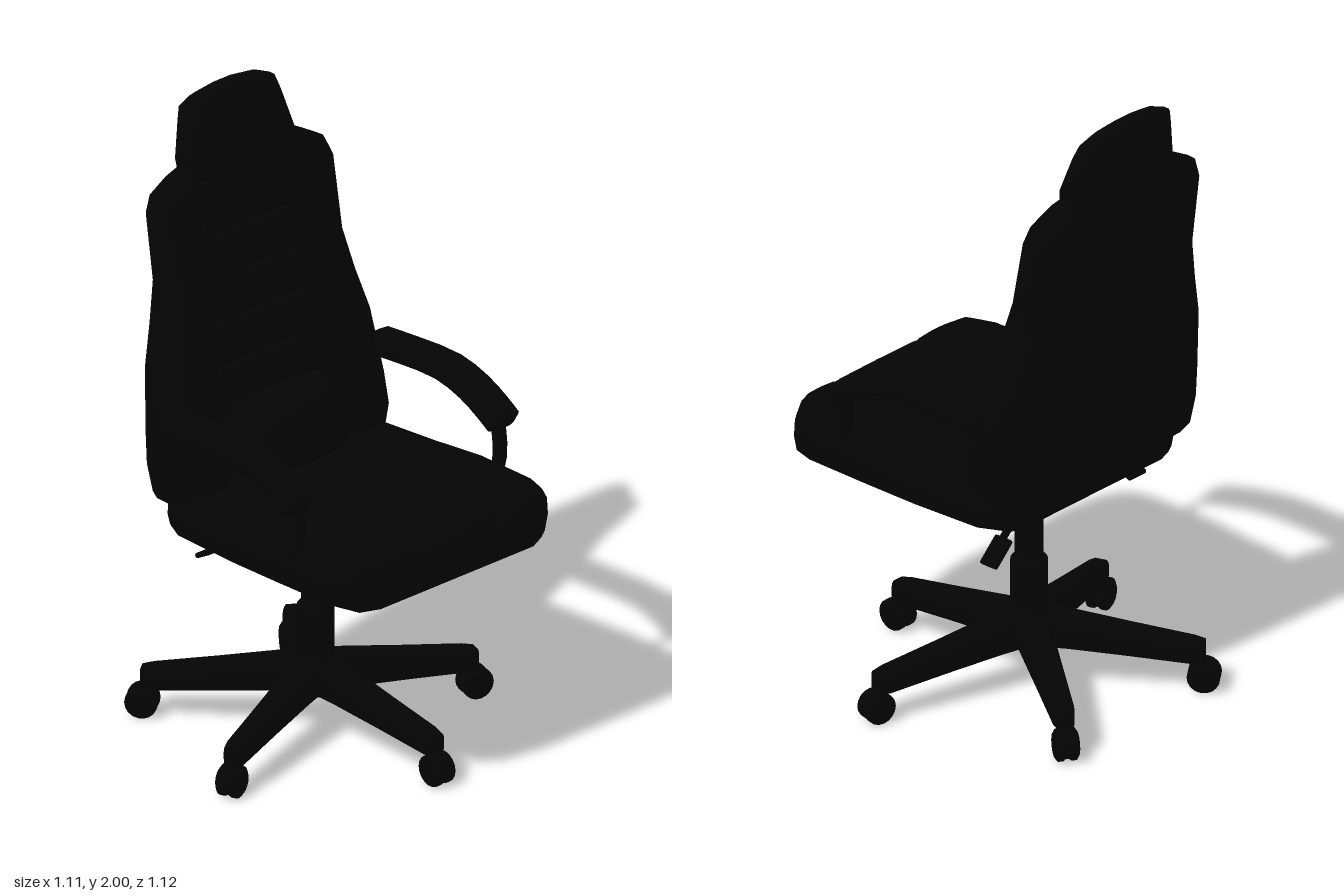
import * as THREE from 'three';
import { toCreasedNormals } from 'three/addons/utils/BufferGeometryUtils.js';
import { RoundedBoxGeometry } from 'three/addons/geometries/RoundedBoxGeometry.js';

const V = (x, y, z) => new THREE.Vector3(x, y, z);
const material = new THREE.MeshStandardMaterial({ color: 0x040404 });

function add(parent, name, geometry, x = 0, y = 0, z = 0) {
  const mesh = new THREE.Mesh(geometry, material);
  mesh.name = name;
  mesh.position.set(x, y, z);
  parent.add(mesh);
  return mesh;
}

// Skin a row of equal closed loops and close both ends
function loft(loops, crease = 0.8) {
  const n = loops[0].length, pos = [], idx = [];
  loops.forEach(l => l.forEach(p => pos.push(p.x, p.y, p.z)));
  for (let i = 0; i < loops.length - 1; i++) {
    for (let j = 0; j < n; j++) {
      const a = i * n + j, b = i * n + (j + 1) % n;
      idx.push(a, b, b + n, a, b + n, a + n);
    }
  }
  [0, loops.length - 1].forEach(i => {
    const c = pos.length / 3;
    const mid = loops[i].reduce((s, p) => s.add(p), V(0, 0, 0)).divideScalar(n);
    pos.push(mid.x, mid.y, mid.z);
    for (let j = 0; j < n; j++) {
      const a = i * n + j, b = i * n + (j + 1) % n;
      if (i) idx.push(c, a, b); else idx.push(c, b, a);
    }
  });
  const g = new THREE.BufferGeometry();
  g.setAttribute('position', new THREE.Float32BufferAttribute(pos, 3));
  g.setIndex(idx);
  return toCreasedNormals(g, crease);
}

// Complete a half profile (running from centre to centre on the +x side)
const mirror = half => [...half, ...half.slice(1, -1).reverse().map(([x, y]) => [-x, y])];

// Round rod along a curve, with closed ends
function rod(pts, r) {
  const curve = new THREE.CatmullRomCurve3(pts), steps = 16;
  const { normals, binormals } = curve.computeFrenetFrames(steps);
  return loft(normals.map((n, i) => Array.from({ length: 10 }, (_, j) => {
    const a = j / 10 * Math.PI * 2;
    return curve.getPointAt(i / steps).addScaledVector(n, r * Math.cos(a)).addScaledVector(binormals[i], r * Math.sin(a));
  })));
}

// Rounded rectangle in unit size
const roundRect = mirror([[0, -1], [0.7, -1], [0.93, -0.75], [1, -0.3], [1, 0.3], [0.93, 0.75], [0.7, 1], [0, 1]]);

function buildSeat(root) {
  const half = [[0, 0], [0.88, 0], [0.97, 0.12], [1, 0.4], [0.99, 0.7], [0.94, 0.9], [0.85, 1],
    [0.7, 1.01], [0.54, 0.98], [0.5, 0.92], [0.46, 0.97], [0, 0.98]];
  // z, half width, bottom, top
  const stations = [[-0.36, 0.27, 0.75, 0.80], [-0.345, 0.33, 0.715, 0.82], [-0.31, 0.385, 0.7, 0.84],
    [-0.24, 0.422, 0.7, 0.85], [0, 0.435, 0.7, 0.86], [0.2, 0.437, 0.7, 0.88], [0.42, 0.432, 0.7, 0.882],
    [0.49, 0.41, 0.7, 0.88], [0.53, 0.355, 0.71, 0.86], [0.555, 0.24, 0.755, 0.815]];
  const loops = stations.map(([z, w, lo, hi]) => mirror(half).map(([x, y]) => V(x * w, lo + y * (hi - lo), z)));
  add(root, 'seat', loft(loops));
  // Stitched diagonal folds on both bolsters
  for (const s of [-1, 1]) for (let i = 0; i < 3; i++) {
    const z = 0.07 + i * 0.075, y = 0.861 + i * 0.005;
    add(root, 'seatFold', rod([V(s * 0.22, y - 0.006, z - 0.04), V(s * 0.3, y, z), V(s * 0.37, y - 0.003, z + 0.03)], 0.012));
  }
}

function buildBack(root) {
  // x share of the width, depth share from front (0) to rear (1)
  const half = [[0, 0.31], [0.5, 0.28], [0.54, 0.3], [0.58, 0.12], [0.69, 0.01], [0.84, 0], [0.95, 0.12],
    [1, 0.4], [0.99, 0.7], [0.93, 0.9], [0.77, 0.99], [0, 1]];
  // y, half width, front z, rear z
  const stations = [[0.79, 0.38, -0.22, -0.37], [0.81, 0.415, -0.17, -0.395], [0.9, 0.428, -0.16, -0.41],
    [1.0, 0.425, -0.18, -0.417], [1.2, 0.407, -0.225, -0.435], [1.33, 0.374, -0.26, -0.445], [1.46, 0.347, -0.29, -0.455],
    [1.68, 0.36, -0.347, -0.468], [1.73, 0.34, -0.36, -0.47], [1.77, 0.27, -0.375, -0.467], [1.8, 0.2, -0.4, -0.455]];
  const loops = stations.map(([y, w, f, r]) => mirror(half).map(([x, d]) => V(x * w, y, f + d * (r - f))));
  add(root, 'backrest', loft(loops));

  // Stacked pads up the middle
  for (let i = 0; i < 4; i++) {
    const pad = add(root, 'backPad', new RoundedBoxGeometry(0.42 - i * 0.02, 0.132, 0.05, 3, 0.022), 0, 1.12 + i * 0.13, -0.283 - i * 0.026);
    pad.rotation.x = -0.21;
  }
  // Lumbar pillow, thinning towards its ends: x, height share, depth share
  const pillow = [[-0.225, 0.5, 0.3], [-0.21, 0.75, 0.55], [-0.17, 0.92, 0.8], [-0.1, 1, 0.95], [0, 1, 1],
    [0.1, 1, 0.95], [0.17, 0.92, 0.8], [0.21, 0.75, 0.55], [0.225, 0.5, 0.3]];
  add(root, 'lumbarCushion', loft(pillow.map(([x, h, d]) => Array.from({ length: 20 }, (_, j) => {
    const a = j / 20 * Math.PI * 2;
    return V(x, 0.96 + h * 0.122 * Math.cos(a), -0.2 + d * 0.107 * Math.sin(a) - 0.2 * h * 0.122 * Math.cos(a));
  }))));

  // Headrest: y, half width, front z, rear z
  const head = [[1.745, 0.195, -0.385, -0.46], [1.765, 0.215, -0.367, -0.473], [1.81, 0.221, -0.37, -0.48],
    [1.92, 0.197, -0.405, -0.49], [1.965, 0.185, -0.425, -0.494], [1.985, 0.14, -0.435, -0.492], [2.0, 0.05, -0.448, -0.482]];
  add(root, 'headrest', loft(head.map(([y, w, f, r]) =>
    roundRect.map(([x, d]) => V(x * w, y, (f + r) / 2 + d * (r - f) / 2)))));
}

function buildArms(root) {
  const path = new THREE.CatmullRomCurve3([V(0, 1.08, -0.27), V(0, 1.093, -0.12), V(0, 1.098, 0.05),
    V(0, 1.07, 0.16), V(0, 1.03, 0.24), V(0, 0.995, 0.295)]);
  const steps = [0, 0.03, 0.1, 0.2, 0.3, 0.4, 0.5, 0.6, 0.7, 0.8, 0.9, 0.97, 1];
  const pad = loft(steps.map((t, i) => {
    const p = path.getPoint(t), d = path.getTangent(t);
    const k = i === 0 || i === steps.length - 1 ? 0.7 : 1;
    return roundRect.map(([x, h]) => V(x * 0.055 * k, p.y + d.z * h * 0.032 * k, p.z - d.y * h * 0.032 * k));
  }));
  // Flat bar from the pad down to the seat: y, z
  const post = loft([[1.02, 0.262], [0.98, 0.278], [0.93, 0.284], [0.88, 0.282], [0.8, 0.262]].map(([y, z]) =>
    roundRect.map(([x, d]) => V(x * 0.024, y, z + d * 0.011))));
  for (const s of [-1, 1]) {
    const arm = new THREE.Group();
    arm.name = s > 0 ? 'leftArmrest' : 'rightArmrest';
    add(arm, 'armPad', pad, s * 0.421, 0, 0);
    add(arm, 'armPost', post, s * 0.41, 0, 0);
    root.add(arm);
  }
}

function buildBase(root) {
  const base = new THREE.Group();
  base.name = 'base';
  base.position.z = -0.083;
  root.add(base);
  // Gas column with hub and sleeve
  const column = [[0, 0.13], [0.06, 0.13], [0.075, 0.16], [0.075, 0.22], [0.056, 0.25], [0.056, 0.41], [0.043, 0.425],
    [0.043, 0.68], [0, 0.68]].map(p => new THREE.Vector2(...p));
  add(base, 'column', toCreasedNormals(new THREE.LatheGeometry(column, 24), 0.5));

  // Five tapering legs on twin wheels: z, half width, bottom, top
  const leg = loft([[0.02, 0.052, 0.135, 0.25], [0.12, 0.05, 0.13, 0.232], [0.3, 0.042, 0.113, 0.2],
    [0.49, 0.034, 0.093, 0.168], [0.525, 0.026, 0.096, 0.16]].map(([z, w, lo, hi]) =>
    roundRect.map(([x, y]) => V(x * w, (lo + hi) / 2 + y * (hi - lo) / 2, z))));
  const wheel = toCreasedNormals(new THREE.LatheGeometry([[0, -0.016], [0.038, -0.016], [0.05, -0.008],
    [0.05, 0.008], [0.038, 0.016], [0, 0.016]].map(p => new THREE.Vector2(...p)), 18), 0.5);
  for (let i = 0; i < 5; i++) {
    const spoke = new THREE.Group();
    spoke.name = 'spoke';
    spoke.rotation.y = i * Math.PI * 2 / 5;
    add(spoke, 'leg', leg);
    add(spoke, 'casterStem', new THREE.CylinderGeometry(0.018, 0.018, 0.08, 12), 0, 0.08, 0.505);
    add(spoke, 'casterHood', new THREE.CylinderGeometry(0.047, 0.047, 0.03, 18), 0, 0.053, 0.522).rotation.z = Math.PI / 2;
    for (const s of [-1, 1]) add(spoke, 'casterWheel', wheel, s * 0.02, 0.05, 0.522).rotation.z = Math.PI / 2;
    base.add(spoke);
  }
}

function buildMechanism(root) {
  add(root, 'mountPlate', new THREE.BoxGeometry(0.12, 0.03, 0.3), 0, 0.69, -0.04);
  add(root, 'mechanismBox', new RoundedBoxGeometry(0.1, 0.07, 0.22, 2, 0.012), 0, 0.665, -0.06);
  const knob = add(root, 'tensionKnob', new THREE.CylinderGeometry(0.042, 0.044, 0.11, 16), 0, 0.602, 0.05);
  knob.rotation.x = -0.18;
  // Height lever on the left, tilt lever on the right
  add(root, 'heightLever', rod([V(0.02, 0.625, -0.13), V(0.1, 0.625, -0.14), V(0.17, 0.58, -0.145), V(0.25, 0.505, -0.15)], 0.012));
  const grip = add(root, 'heightLeverGrip', new RoundedBoxGeometry(0.1, 0.016, 0.066, 2, 0.007), 0.22, 0.535, -0.15);
  grip.rotation.z = -0.75;
  add(root, 'tiltLever', rod([V(-0.02, 0.67, -0.12), V(-0.16, 0.67, -0.17), V(-0.28, 0.665, -0.2), V(-0.31, 0.645, -0.215)], 0.01));
  const paddle = add(root, 'tiltLeverGrip', new RoundedBoxGeometry(0.075, 0.016, 0.066, 2, 0.007), -0.303, 0.637, -0.217);
  paddle.rotation.x = -0.5;
}

export function createModel() {
  const chair = new THREE.Group();
  chair.name = 'officeChair';
  const upper = new THREE.Group();
  upper.name = 'upholstery';
  upper.position.x = -0.005;
  chair.add(upper);
  buildSeat(upper);
  buildBack(upper);
  buildArms(upper);
  buildBase(chair);
  buildMechanism(chair);
  return chair;
}
